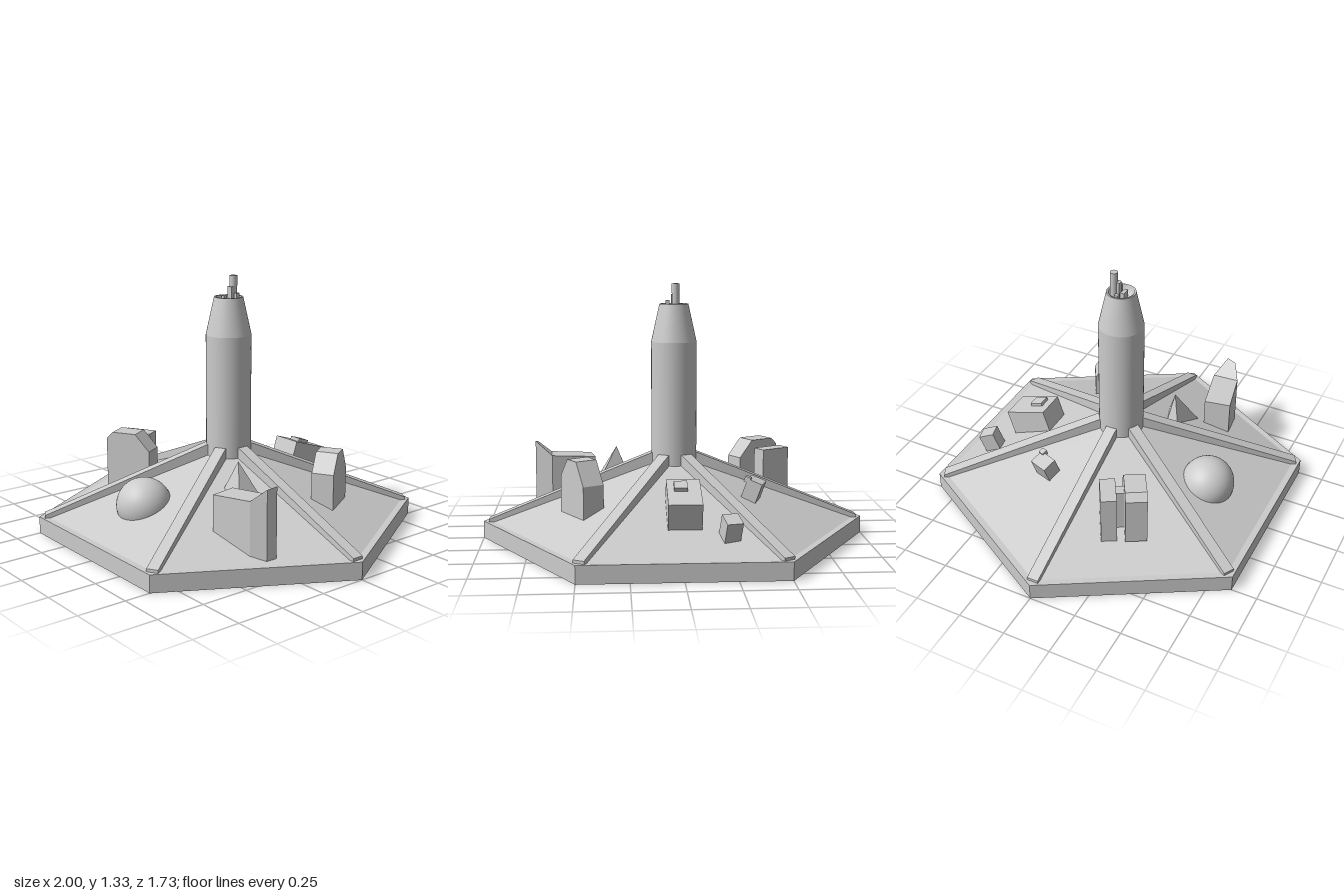
import * as THREE from 'three';
import { ConvexGeometry } from 'three/addons/geometries/ConvexGeometry.js';

const flat = new THREE.MeshStandardMaterial({ color: 0xcccccc, flatShading: true });
const smooth = new THREE.MeshStandardMaterial({ color: 0xcccccc });
const thin = new THREE.MeshStandardMaterial({ color: 0xcccccc, side: THREE.DoubleSide });
const V = (x, y, z) => new THREE.Vector3(x, y, z);

function add(parent, name, geometry, material = flat) {
  const mesh = new THREE.Mesh(geometry, material);
  mesh.name = name;
  parent.add(mesh);
  return mesh;
}

// Side profile of [x, y] points, extruded to a width centred on z = 0
function slab(points, width) {
  const shape = new THREE.Shape(points.map(([x, y]) => new THREE.Vector2(x, y)));
  return new THREE.ExtrudeGeometry(shape, { depth: width, bevelEnabled: false }).translate(0, 0, -width / 2);
}

// Box hung below its top centre, turned by yaw and leaned down the slope by pitch
function roofBox(parent, name, [w, h, d], [x, y, z], yaw, pitch) {
  const group = new THREE.Group();
  group.name = name;
  group.position.set(x, y, z);
  group.rotation.set(-pitch, yaw, 0, 'YXZ');
  add(group, name + 'Body', new THREE.BoxGeometry(w, h, d).translate(0, -h / 2, 0));
  parent.add(group);
  return group;
}

export function createModel() {
  const model = new THREE.Group();
  model.name = 'hexagonalStation';

  // Hexagonal base and sloping roof
  add(model, 'base', new THREE.CylinderGeometry(1, 1, 0.09, 6).rotateY(Math.PI / 6).translate(0, 0.045, 0));
  add(model, 'roof', new THREE.CylinderGeometry(0.115, 0.975, 0.315, 6, 1, true)
    .rotateY(Math.PI / 6).translate(0, 0.2425, 0));

  // Raised ribs along the six roof edges
  const rib = slab([[0.08, 0.36], [0.97, 0.06], [0.97, 0.105], [0.12, 0.45], [0.08, 0.45]], 0.06);
  for (let i = 0; i < 6; i++) add(model, 'rib', rib).rotation.y = i * Math.PI / 3;

  // Tower with a tapered, open top
  const tower = new THREE.Group();
  tower.name = 'tower';
  model.add(tower);
  add(tower, 'towerShaft', new THREE.CylinderGeometry(0.118, 0.118, 0.73, 40, 1, true).translate(0, 0.665, 0), smooth);
  add(tower, 'towerTaper', new THREE.CylinderGeometry(0.075, 0.118, 0.195, 40, 1, true).translate(0, 1.1275, 0), smooth);
  const well = [[0.075, 1.225], [0.064, 1.225], [0.066, 1.175], [0, 1.175]];
  add(tower, 'towerWell', new THREE.LatheGeometry(well.map(p => new THREE.Vector2(...p)), 40), thin);
  add(tower, 'mast', new THREE.CylinderGeometry(0.02, 0.02, 0.16, 16).translate(-0.007, 1.25, -0.037), smooth);
  const equipment = [
    [0.03, 0.1, 0.025, 0, -0.018], [0.02, 0.07, 0.02, 0.035, -0.025],
    [0.02, 0.05, 0.02, -0.04, -0.005], [0.045, 0.04, 0.02, 0.02, 0.005],
  ];
  for (const [w, h, d, x, z] of equipment) {
    add(tower, 'towerEquipment', new THREE.BoxGeometry(w, h, d).translate(x, 1.175 + h / 2, z));
  }

  // Front dome
  const dome = add(model, 'dome', new THREE.SphereGeometry(0.14, 40, 24), smooth);
  dome.position.set(-0.03, 0.21, 0.525);
  dome.scale.x = 1.03;

  // Tilted boxes on the rear slopes
  const large = roofBox(model, 'largeBox', [0.165, 0.14, 0.242], [-0.018, 0.352, -0.543], 0, 0.32);
  add(large, 'largeBoxHatch', new THREE.BoxGeometry(0.065, 0.03, 0.07).translate(0.015, 0.003, 0.04));
  roofBox(model, 'smallBox', [0.08, 0.11, 0.085], [-0.235, 0.255, -0.705], 0.25, 0.38);
  const side = roofBox(model, 'sideBox', [0.105, 0.13, 0.08], [-0.408, 0.345, -0.253], 1.23, 0.35);
  add(side, 'sideBoxVent', new THREE.BoxGeometry(0.03, 0.03, 0.03).translate(0.04, -0.005, 0.04));

  // Block with sloping ends on the right rear
  const hall = add(model, 'chamferedHall', slab(
    [[-0.117, 0.17], [0.117, 0.17], [0.117, 0.37], [0.045, 0.465], [-0.045, 0.465], [-0.117, 0.35]], 0.115));
  hall.position.set(0.477, 0, -0.277);
  hall.rotation.y = -Math.PI / 3;

  // Twin blocks with a link on the left front
  const twin = new THREE.Group();
  twin.name = 'twinBlocks';
  twin.position.set(-0.455, 0, 0.305);
  twin.rotation.y = Math.PI * 7 / 6;
  model.add(twin);
  add(twin, 'mainBlock', slab(
    [[-0.125, 0.17], [0.125, 0.17], [0.125, 0.43], [0.09, 0.465], [-0.045, 0.465], [-0.125, 0.375]], 0.11));
  add(twin, 'rearBlock', new THREE.BoxGeometry(0.17, 0.265, 0.08).translate(0.025, 0.2975, 0.136));
  add(twin, 'linkBlock', new THREE.BoxGeometry(0.055, 0.25, 0.06).translate(0.015, 0.295, 0.075));

  // Leaning four-sided pyramid
  add(model, 'pyramid', new ConvexGeometry([
    V(0.3, 0.45, 0.18), V(0.215, 0.25, 0.155), V(0.405, 0.25, 0.1), V(0.425, 0.23, 0.27), V(0.22, 0.25, 0.24),
  ]));

  // Prow-shaped block whose top sweeps up at the tip: [x, z, top height] round the outline
  const outline = [
    [0.44, 0.45, 0.37], [0.66, 0.405, 0.385], [0.73, 0.36, 0.45],
    [0.742, 0.31, 0.46], [0.65, 0.265, 0.385], [0.415, 0.31, 0.37],
  ];
  const position = [], index = [];
  for (const [x, z, top] of outline) position.push(x, 0.08, z, x, top, z);
  for (let i = 0; i < 6; i++) {
    const a = 2 * i, b = 2 * ((i + 1) % 6);
    index.push(a, b, a + 1, b, b + 1, a + 1);
  }
  for (const [a, b, c, d] of [[0, 1, 4, 5], [1, 2, 3, 4]]) {
    for (const i of [a, b, c, a, c, d]) index.push(2 * i + 1);
  }
  const prow = new THREE.BufferGeometry();
  prow.setAttribute('position', new THREE.Float32BufferAttribute(position, 3));
  prow.setIndex(index);
  prow.computeVertexNormals();
  add(model, 'prowBlock', prow);

  return model;
}
